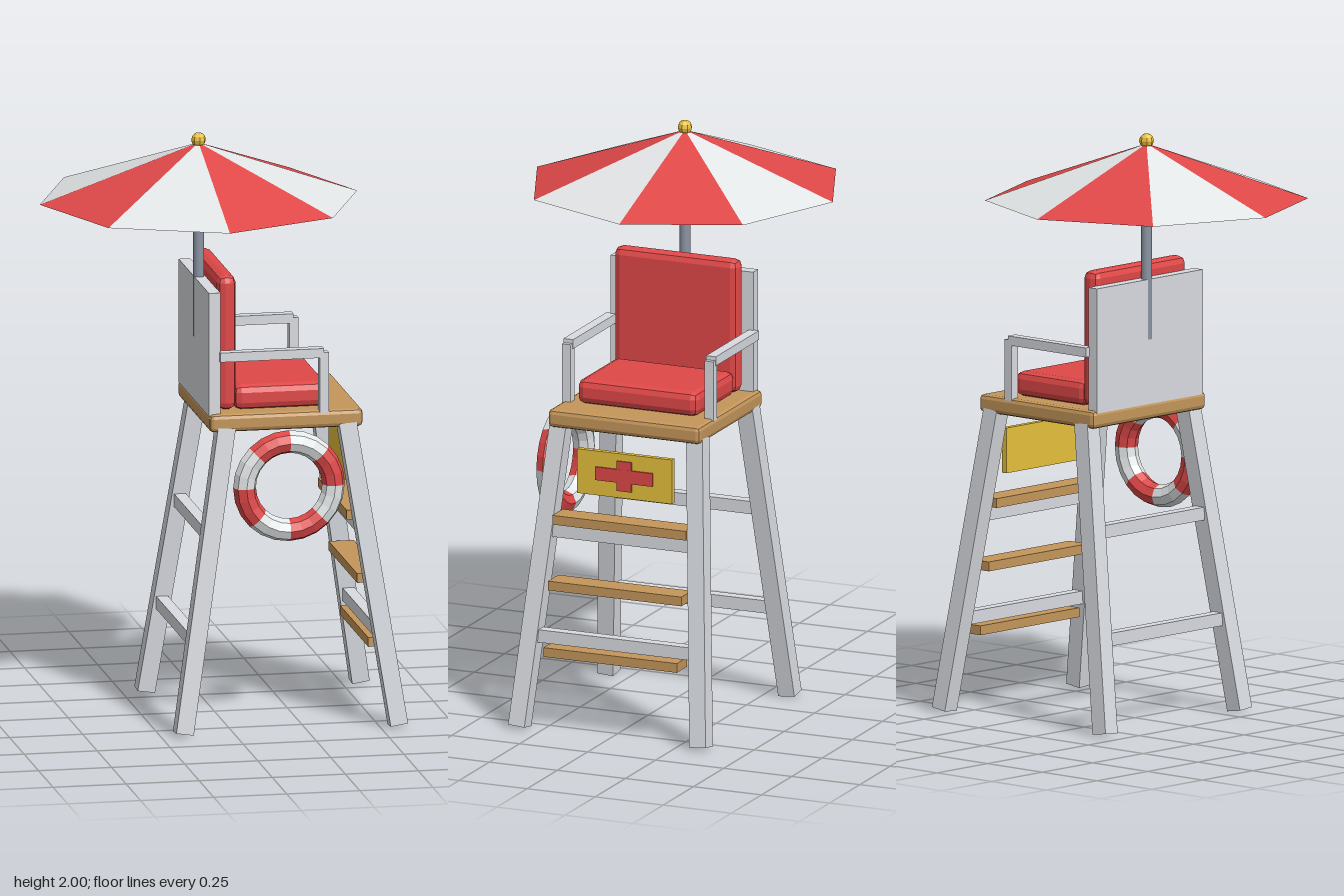
import * as THREE from 'three';
import { RoundedBoxGeometry } from 'three/addons/geometries/RoundedBoxGeometry.js';

const material = (name, color) => {
  const m = new THREE.MeshStandardMaterial({ color });
  m.name = name;
  return m;
};

export function createModel() {
  const model = new THREE.Group();
  model.name = 'lifeguardChair';
  const frame = material('painted frame grey', 0xd9dce1);
  const white = material('canvas white', 0xe4e7e8);
  const red = material('red', 0xe04848);
  const wood = material('wood', 0xc4965a);
  const yellow = material('yellow', 0xe6c03c);
  const steel = material('pole steel', 0x8a94a2);

  const add = (name, geometry, mat, x = 0, y = 0, z = 0, parent = model) => {
    const mesh = new THREE.Mesh(geometry, mat);
    mesh.name = name;
    mesh.position.set(x, y, z);
    parent.add(mesh);
    return mesh;
  };
  const flat = (geometry) => {
    const g = geometry.index ? geometry.toNonIndexed() : geometry;
    g.computeVertexNormals();
    return g;
  };
  // Boxes are given by their lower and upper limits on each axis
  const limits = (x0, x1, y0, y1, z0, z1) => ({
    size: [x1 - x0, y1 - y0, z1 - z0],
    mid: [(x0 + x1) / 2, (y0 + y1) / 2, (z0 + z1) / 2],
  });
  const box = (name, mat, ...range) => {
    const { size, mid } = limits(...range);
    return add(name, new THREE.BoxGeometry(...size), mat, ...mid);
  };
  const bevelBox = (name, mat, bevel, ...range) => {
    const { size, mid } = limits(...range);
    return add(name, flat(new RoundedBoxGeometry(...size, 1, bevel)), mat, ...mid);
  };

  // Splayed legs, with cross bars between each pair
  const up = new THREE.Vector3(0, 1, 0);
  const legPairs = [
    { name: 'front', topX: 0.402, footX: 0.562 },
    { name: 'back', topX: -0.012, footX: -0.172 },
  ];
  for (const { name, topX, footX } of legPairs) {
    for (const side of [-1, 1]) {
      const top = new THREE.Vector3(topX, 1.04, side * 0.25);
      const foot = new THREE.Vector3(footX, 0.01, side * 0.333);
      const axis = top.clone().sub(foot);
      const leg = add(name + 'Leg', new THREE.BoxGeometry(0.06, axis.length(), 0.06), frame);
      leg.position.copy(top).add(foot).multiplyScalar(0.5);
      leg.quaternion.setFromUnitVectors(up, axis.normalize());
    }
    for (const y of [0.32, 0.677]) {
      const t = (1.04 - y) / 1.03;
      const x = topX + (footX - topX) * t;
      const halfWidth = 0.25 + 0.083 * t;
      box(name + 'CrossBar', frame, x - 0.02, x + 0.02, y - 0.022, y + 0.022, -halfWidth, halfWidth);
    }
  }

  // Ladder steps
  for (const [x, y] of [[0.447, 0.717], [0.483, 0.497], [0.521, 0.275]]) {
    box('step', wood, x - 0.043, x + 0.043, y - 0.016, y + 0.016, -0.245, 0.245);
  }

  // Platform and chair
  bevelBox('platform', wood, 0.015, -0.07, 0.455, 1.027, 1.088, -0.28, 0.28);
  box('backPanel', frame, -0.07, -0.03, 1.08, 1.505, -0.262, 0.262);
  bevelBox('backCushion', red, 0.025, -0.032, 0.032, 1.09, 1.553, -0.228, 0.228);
  bevelBox('seatCushion', red, 0.025, 0.025, 0.347, 1.087, 1.172, -0.222, 0.222);
  for (const side of [-1, 1]) {
    const z = side * 0.262;
    box('armrest', frame, -0.035, 0.32, 1.27, 1.302, z - 0.018, z + 0.018);
    box('armrestPost', frame, 0.306, 0.337, 1.08, 1.288, z - 0.016, z + 0.016);
  }

  // First aid sign with a thin cross
  box('sign', yellow, 0.425, 0.445, 0.808, 0.962, -0.174, 0.174);
  box('signCrossBar', red, 0.445, 0.451, 0.862, 0.908, -0.105, 0.105);
  box('signCrossPost', red, 0.445, 0.4505, 0.833, 0.937, -0.027, 0.027);

  // Parasol: pole, eight alternating panels, flat underside and finial
  const px = -0.054;
  add('parasolPole', new THREE.CylinderGeometry(0.019, 0.019, 0.5, 12), steel, px, 1.55, 0);
  const canopy = new THREE.Group();
  canopy.name = 'parasolCanopy';
  canopy.position.set(px, 1.87, 0);
  model.add(canopy);
  const step = Math.PI / 4;
  for (let i = 0; i < 8; i++) {
    const panel = flat(new THREE.ConeGeometry(0.543, 0.19, 1, 1, true, Math.PI / 2 + i * step, step));
    add('canopyPanel', panel, i % 2 ? white : red, 0, 0, 0, canopy);
  }
  const underside = add('canopyUnderside', new THREE.CircleGeometry(0.543, 8), red, 0, -0.095, 0, canopy);
  underside.rotation.x = Math.PI / 2;
  add('finial', flat(new THREE.SphereGeometry(0.025, 8, 6)), yellow, px, 1.975, 0);

  // Lifebuoy of eight alternating arcs
  const buoy = new THREE.Group();
  buoy.name = 'lifebuoy';
  buoy.position.set(0.19, 0.847, 0.33);
  model.add(buoy);
  for (let i = 0; i < 8; i++) {
    const arc = flat(new THREE.TorusGeometry(0.152, 0.039, 8, 3, step));
    add('lifebuoyArc', arc, i % 2 ? white : red, 0, 0, 0, buoy).rotation.z = i * step;
  }
  return model;
}
